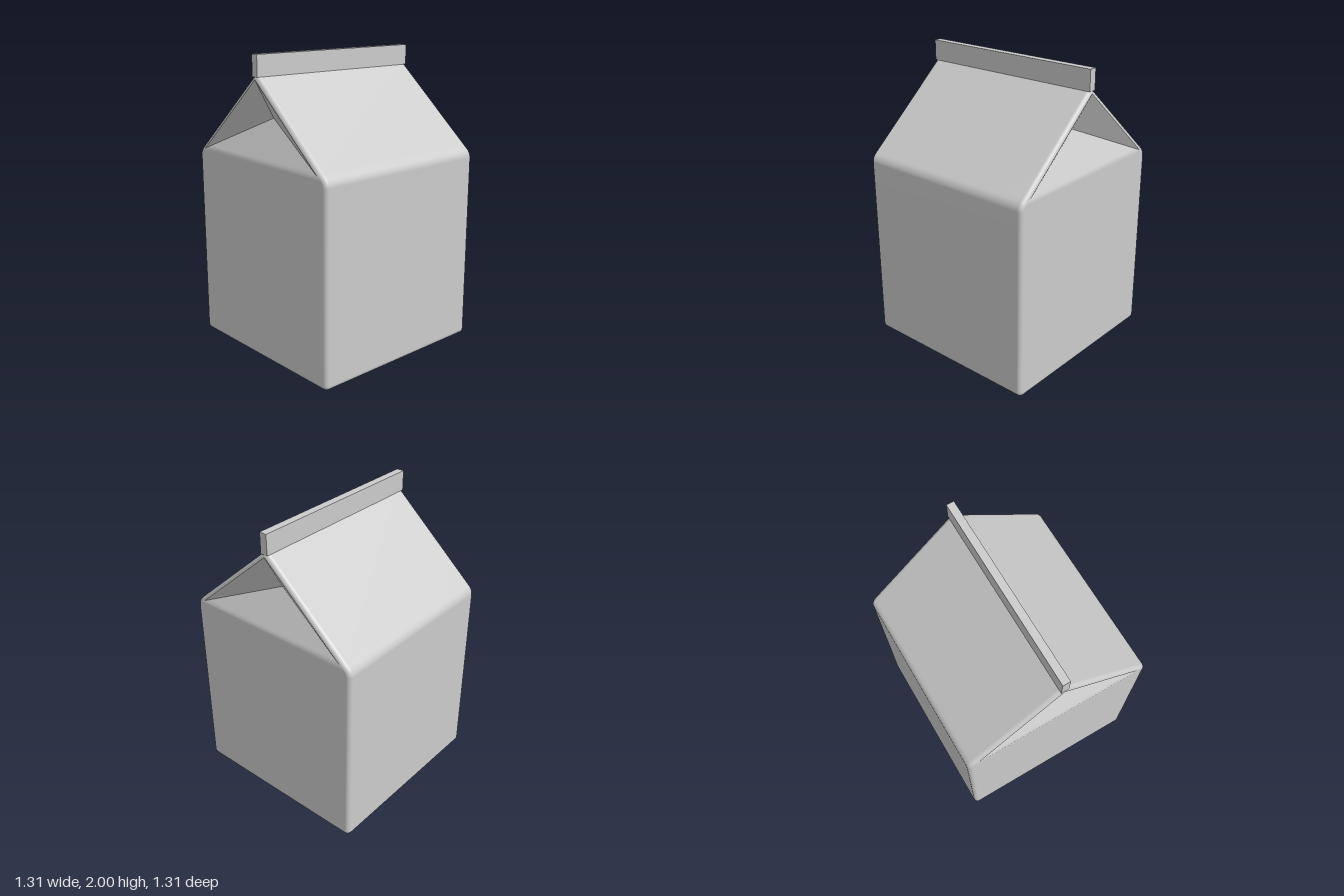
import * as THREE from 'three';

const HALF = 0.655;                  // half width of the carton
const EDGE = 0.03;                   // rounding of the side edges
const SLOPE = Math.atan2(0.7544, 0.6565); // angle of the roof normal
const ROOF = 1.4217;                 // roof plane distance from the origin
const FOLD = [0.515, 1.595, 0];      // innermost point of the gable fold

// Half of the side profile, bottom to ridge, as [z, y], shrunk by d
function halfProfile(d) {
  const pts = [];
  const arc = (cz, cy, r, a0, a1) => {
    for (let i = 0; i <= 4; i++) {
      const a = a0 + (a1 - a0) * i / 4;
      pts.push([cz + (r - d) * Math.cos(a), cy + (r - d) * Math.sin(a)]);
    }
  };
  const c = Math.cos(SLOPE), s = Math.sin(SLOPE);
  arc(HALF - 0.035, 0.035, 0.035, -Math.PI / 2, 0);
  const cz = HALF - 0.08;
  arc(cz, (ROOF - 0.08 - c * cz) / s, 0.08, 0, SLOPE);
  const [z, y] = pts[pts.length - 1];
  pts.push([z - 0.03 * s, y + 0.03 * c]);   // start of the gable fold
  pts.push([0, (ROOF - d) / s]);            // ridge
  return pts;
}

export function createModel() {
  const group = new THREE.Group();
  const material = new THREE.MeshStandardMaterial({ color: 0xcccccc, roughness: 0.7 });
  const add = (name, geometry, mat = material) => {
    const mesh = new THREE.Mesh(geometry, mat);
    mesh.name = name;
    group.add(mesh);
    return mesh;
  };

  // Carton shell: the profile lofted across x, with rounded ends
  const pos = [], index = [], rows = [];
  for (let i = 0; i <= 5; i++) {
    const t = Math.PI / 2 * i / 5;
    rows.push([HALF - EDGE + EDGE * Math.sin(t), EDGE * (1 - Math.cos(t))]);
  }
  const stations = [...rows.map(([x, d]) => [-x, d]).reverse(), ...rows];
  const half = halfProfile(0).length, n = half * 2;
  for (const [x, d] of stations) {
    const h = halfProfile(d);
    const ring = [...h, ...h.map(([z, y]) => [-z, y]).reverse()];
    for (const [z, y] of ring) pos.push(x, y, z);
  }
  for (let j = 0; j < stations.length - 1; j++) {
    for (let i = 0; i < n; i++) {
      if (i === half - 1) continue;         // keep the ridge sharp
      const a = j * n + i, b = j * n + (i + 1) % n;
      index.push(a, a + n, b + n, a, b + n, b);
    }
  }

  // End walls and the lower gable panels leaning inwards
  const inner = halfProfile(EDGE);
  const [kz, ky] = inner[half - 2], ridgeY = inner[half - 1][1];
  const foldPos = [];
  for (const side of [1, -1]) {
    const face = (out, a, b, c) => out.push(...(side > 0 ? [a, b, c] : [a, c, b]));
    const base = side > 0 ? (stations.length - 1) * n : 0;
    const quad = (a, b, c, d) => { face(index, a, b, c); face(index, a, c, d); };
    for (let i = 0; i < half - 2; i++) {
      quad(base + i, base + n - 1 - i, base + n - 2 - i, base + i + 1);
    }
    // A narrow strip softens the crease between wall and panel
    const k = base + half - 2, m = base + n - 1 - (half - 2);
    const v = pos.length / 3, f = 0.08;
    for (const zs of [1, -1]) {
      pos.push(side * (HALF + (FOLD[0] - HALF) * f), ky + (FOLD[1] - ky) * f, zs * kz * (1 - f));
    }
    pos.push(side * FOLD[0], FOLD[1], FOLD[2]);
    quad(k, m, v + 1, v);
    face(index, v, v + 1, v + 2);

    // Upper gable folds, from the fold point out to the roof edges
    const K = z => [side * HALF, ky, z];
    const F = [side * FOLD[0], FOLD[1], FOLD[2]], A = [side * HALF, ridgeY, 0];
    const tris = [];
    face(tris, K(kz), F, A);
    face(tris, K(-kz), A, F);
    foldPos.push(...tris.flat());
  }
  const shell = new THREE.BufferGeometry();
  shell.setAttribute('position', new THREE.Float32BufferAttribute(pos, 3));
  shell.setIndex(index);
  shell.computeVertexNormals();
  add('cartonShell', shell);

  const folds = new THREE.BufferGeometry();
  folds.setAttribute('position', new THREE.Float32BufferAttribute(foldPos, 3));
  folds.computeVertexNormals();
  const thin = material.clone();
  thin.side = THREE.DoubleSide;
  add('gableFolds', folds, thin);

  // Sealed strip along the ridge
  add('topSeal', new THREE.BoxGeometry(HALF * 2, 0.138, 0.052)).position.y = 1.931;

  return group;
}
